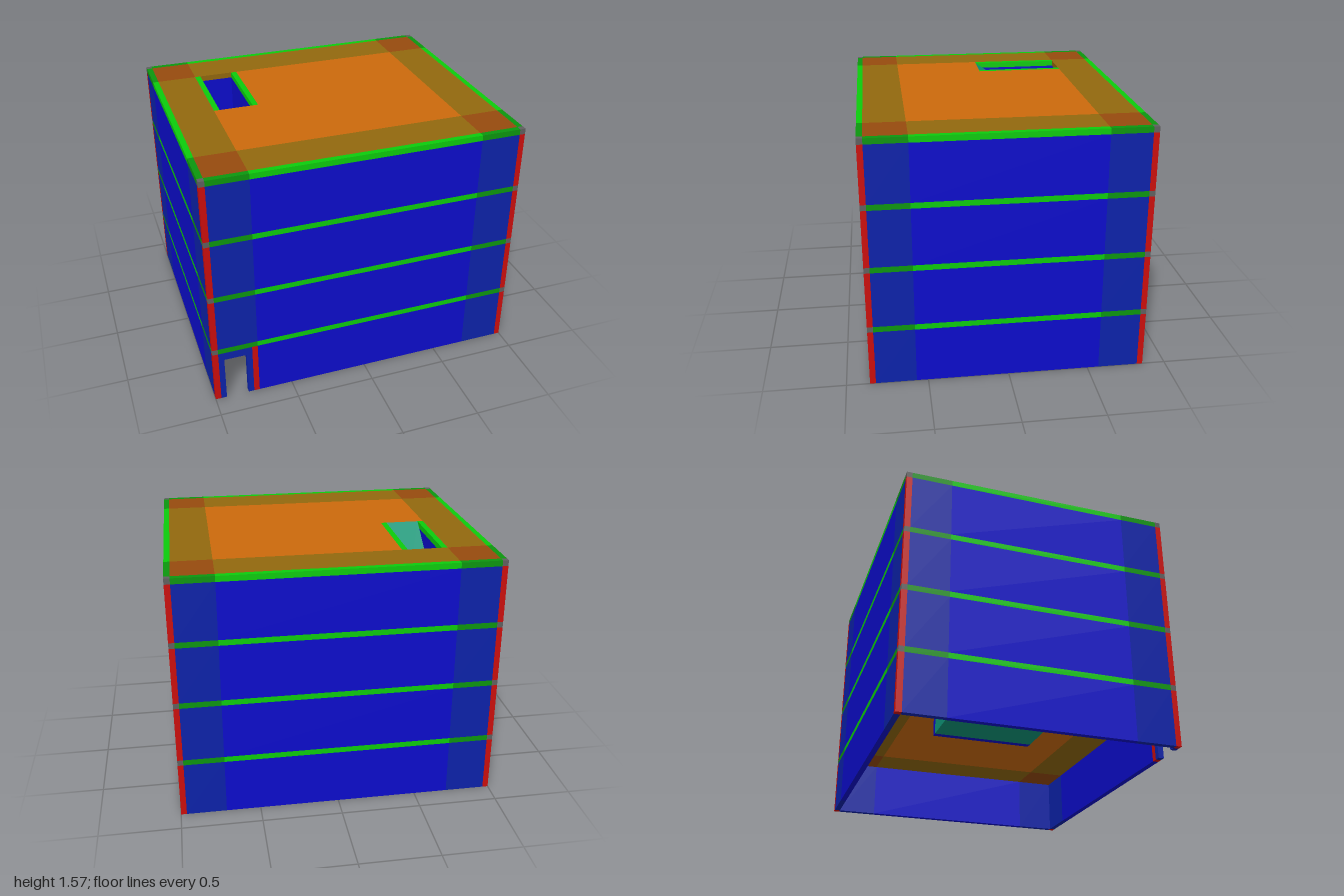
import * as THREE from 'three';

const U = 1 / 28;            // building module
const STOREY = 11, CLEAR = 10; // storey height and clear wall height, in modules

function mat(name, hex) {
  const m = new THREE.MeshStandardMaterial({ color: hex });
  m.name = name;
  return m;
}

export function createModel() {
  const M = {
    blue: mat('wall blue', 0x0c0ccc),
    deepBlue: mat('corner wall blue', 0x0c22aa),
    green: mat('beam green', 0x0ccc0c),
    deepGreen: mat('corner beam green', 0x0c960e),
    red: mat('column red', 0xcc0e0c),
    grey: mat('joint grey', 0x606060),
    orange: mat('slab orange', 0xcc6a0c),
    olive: mat('slab edge olive', 0x92680e),
    rust: mat('slab corner rust', 0x964a0e),
    teal: mat('ramp teal', 0x0e9678),
  };
  const building = new THREE.Group();
  building.name = 'building';

  // Box from min and max corners, in modules
  function box(parent, name, material, x0, x1, y0, y1, z0, z1) {
    const mesh = new THREE.Mesh(
      new THREE.BoxGeometry((x1 - x0) * U, (y1 - y0) * U, (z1 - z0) * U), material);
    mesh.position.set((x0 + x1) / 2 * U, (y0 + y1) / 2 * U, (z0 + z1) / 2 * U);
    mesh.name = name;
    parent.add(mesh);
  }

  // Solid ramp between two x positions; profile is [z, y] points
  function ramp(parent, x0, x1, y, profile) {
    const shape = new THREE.Shape(profile.map(([z, h]) => new THREE.Vector2(z * U, h * U)));
    const geo = new THREE.ExtrudeGeometry(shape, { depth: (x1 - x0) * U, bevelEnabled: false });
    geo.rotateY(-Math.PI / 2);
    const mesh = new THREE.Mesh(geo, M.teal);
    mesh.position.set(x1 * U, y * U, 0);
    mesh.name = 'stairRamp';
    parent.add(mesh);
  }

  // Segments along each side: corner zone, middle, corner zone
  const xSegs = [[-27, -20], [-20, 20], [20, 27]];
  const zSegs = [[-23, -16], [-16, 16], [16, 23]];
  const xCuts = [-27, -20, -12, 20, 27];
  const zCuts = [-23, -16, 0, 16, 23];

  for (let s = 0; s < 4; s++) {
    const floor = new THREE.Group();
    floor.name = 'storey' + (s + 1);
    building.add(floor);
    const y = s * STOREY, yb = y + CLEAR, yt = y + STOREY;
    const outer = s % 2 === 0; // stair flights alternate between two bays

    // Corner columns and joints
    for (const sx of [-1, 1]) for (const sz of [-1, 1]) {
      const cx = sx * 27.5, cz = sz * 23.5;
      box(floor, 'cornerColumn', M.red, cx - 0.5, cx + 0.5, y, yb, cz - 0.5, cz + 0.5);
      box(floor, 'beamJoint', M.grey, cx - 0.5, cx + 0.5, yb, yt, cz - 0.5, cz + 0.5);
    }

    // Front and back walls with edge beams
    for (const side of [-1, 1]) {
      const z0 = side * 23.5 - 0.5, z1 = z0 + 1;
      xSegs.forEach(([a, b], i) => {
        const mid = i === 1;
        box(floor, 'edgeBeam', mid ? M.green : M.deepGreen, a, b, yb, yt, z0, z1);
        if (s === 0 && side === 1 && i === 0) {
          // Doorway in the corner bay, closed off by a column
          box(floor, 'doorJamb', M.deepBlue, -27, -26, y, yb, z0, z1);
          box(floor, 'doorJamb', M.deepBlue, -22, -21, y, yb, z0, z1);
          box(floor, 'doorLintel', M.deepBlue, -26, -22, 8.5, yb, z0, z1);
          box(floor, 'doorColumn', M.red, -21, -20, y, yb, z0, z1);
        } else {
          box(floor, 'wall', mid ? M.blue : M.deepBlue, a, b, y, yb, z0, z1);
        }
      });
    }

    // Side walls with edge beams
    for (const side of [-1, 1]) {
      const x0 = side * 27.5 - 0.5, x1 = x0 + 1;
      zSegs.forEach(([a, b], i) => {
        const mid = i === 1;
        box(floor, 'wall', mid ? M.blue : M.deepBlue, x0, x1, y, yb, a, b);
        box(floor, 'edgeBeam', mid ? M.green : M.deepGreen, x0, x1, yb, yt, a, b);
      });
    }

    // Slab panels around the stair opening
    const hole = outer ? 0 : 1;
    for (let i = 0; i < 4; i++) for (let j = 0; j < 4; j++) {
      if (i === hole && j === 1) continue;
      const ex = i === 0 || i === 3, ez = j === 0 || j === 3;
      const m = ex && ez ? M.rust : ex || ez ? M.olive : M.orange;
      box(floor, 'slabPanel', m, xCuts[i], xCuts[i + 1], yb, yt, zCuts[j], zCuts[j + 1]);
    }

    // Stairwell walls and beams, and the ramp between them
    for (const x of outer ? [-21] : [-20, -13]) {
      box(floor, 'stairWall', M.blue, x, x + 1, y, yb, -16, 0);
      box(floor, 'stairBeam', M.green, x, x + 1, yb, yt, -16, 0);
    }
    if (outer) ramp(floor, -27, -21, y, [[-16, 0], [0, 0], [-16, STOREY]]);
    else ramp(floor, -19, -13, y, [[-16, 0], [0, 0], [0, STOREY]]);
  }
  return building;
}
